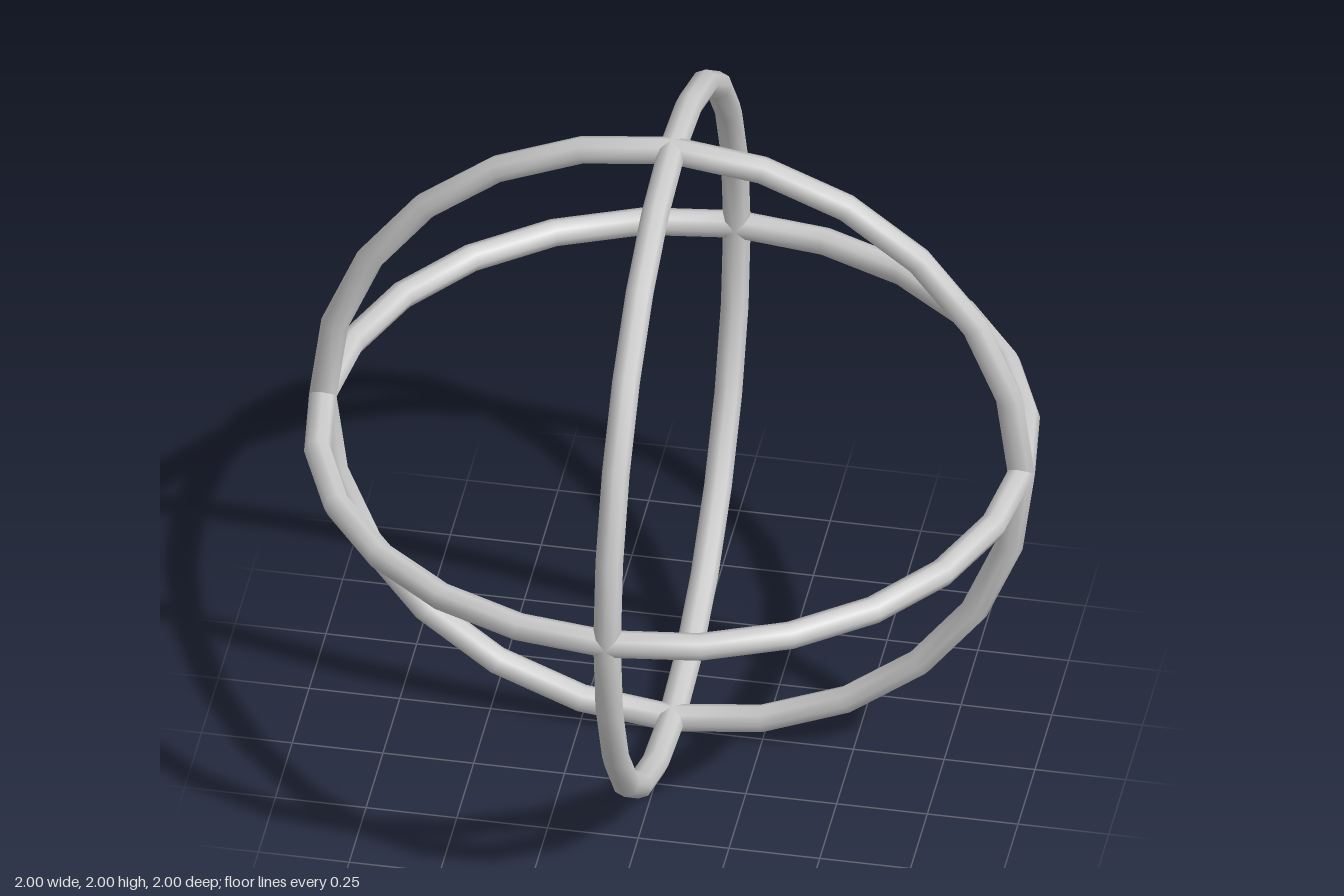
import * as THREE from 'three';

export function createModel() {
  const group = new THREE.Group();
  const material = new THREE.MeshStandardMaterial({ color: 0xcccccc });
  const tube = 0.038;
  const ring = new THREE.TorusGeometry(1 - tube, tube, 8, 24);

  // Three equal hoops, one in each main plane, crossing at the poles
  const addRing = (name, rx, ry) => {
    const mesh = new THREE.Mesh(ring, material);
    mesh.name = name;
    mesh.rotation.set(rx, ry, 0);
    mesh.position.y = 1;
    group.add(mesh);
  };
  addRing('frontRing', 0, 0);
  addRing('sideRing', 0, Math.PI / 2);
  addRing('horizontalRing', Math.PI / 2, 0);

  return group;
}
